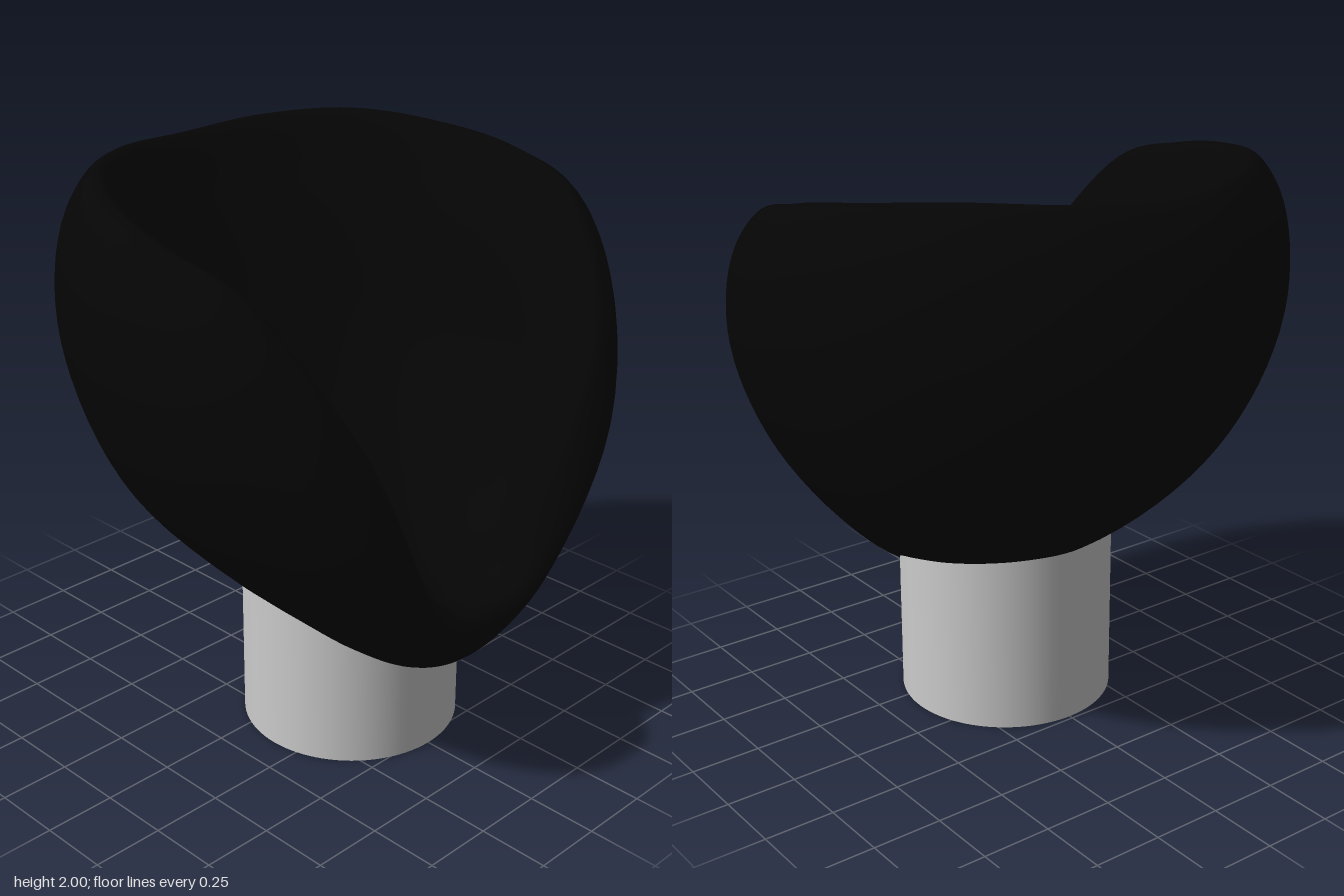
import * as THREE from 'three';
import { mergeVertices } from 'three/addons/utils/BufferGeometryUtils.js';

const AXIS_Z = 0.15;      // vertical axis shared by the base and the shell
const BASE_R = 0.385;

// Shell section every 22.5 degrees from front (0) to back (180):
// underside y at the base, outer mid (r, y), widest (r, y), rim crest (r, y),
// inner rim (r, y), inner wall (r, y)
const KEYS = [
  [0.35, 0.56, 0.435, 0.65, 0.59, 0.56, 0.65, 0.46, 0.65, 0.37, 0.67],
  [0.385, 0.59, 0.50, 0.71, 0.68, 0.63, 0.77, 0.53, 0.74, 0.43, 0.73],
  [0.46, 0.67, 0.70, 0.875, 1.08, 0.81, 1.41, 0.69, 1.22, 0.53, 0.91],
  [0.54, 0.77, 0.93, 0.945, 1.38, 0.81, 1.81, 0.67, 1.56, 0.55, 1.11],
  [0.59, 0.79, 1.00, 0.96, 1.47, 0.80, 1.92, 0.65, 1.69, 0.54, 1.18],
  [0.62, 0.79, 1.00, 0.965, 1.50, 0.80, 1.97, 0.67, 1.75, 0.52, 1.23],
  [0.64, 0.78, 1.02, 0.965, 1.49, 0.82, 2.00, 0.69, 1.78, 0.49, 1.29],
  [0.65, 0.78, 1.03, 0.965, 1.47, 0.83, 1.99, 0.70, 1.78, 0.47, 1.34],
  [0.65, 0.78, 1.04, 0.96, 1.47, 0.83, 1.97, 0.70, 1.77, 0.46, 1.36],
];

// Smooth, left-right mirrored blend of the sections around the axis
function sectionAt(theta) {
  const n = KEYS.length - 1;
  const a = Math.acos(THREE.MathUtils.clamp(Math.cos(theta), -1, 1));
  const f = (a / Math.PI) * n;
  const i = Math.min(Math.floor(f), n - 1);
  const t = f - i;
  const key = (k) => KEYS[k < 0 ? -k : k > n ? 2 * n - k : k];
  return KEYS[0].map((_, c) => {
    const [p0, p1, p2, p3] = [-1, 0, 1, 2].map((d) => key(i + d)[c]);
    const m1 = (p2 - p0) / 2, m2 = (p3 - p1) / 2;
    return p1 + t * (m1 + t * (3 * (p2 - p1) - 2 * m1 - m2 + t * (2 * (p1 - p2) + m1 + m2)));
  });
}

// Profile from the underside, over the rolled rim, down to the seat centre
function profileAt(theta, steps) {
  const [yBase, rMid, yMid, rWide, yWide, rTop, yTop, r1, y1, r2, y2] = sectionAt(theta);
  const points = [
    [0, 0.5], [BASE_R, yBase], [rMid, yMid], [rWide, yWide],
    [rTop + (rWide - rTop) * 0.76, yWide + (yTop - yWide) * 0.74],
    [rTop, yTop], [r1, y1], [r2, y2],
    [0.24, 0.9 - 0.17 * Math.cos(theta)], [0, 0.87],
  ].map(([r, y]) => new THREE.Vector3(r, y, 0));
  return new THREE.CatmullRomCurve3(points).getPoints(steps);
}

function shellGeometry(around = 120, steps = 72) {
  const positions = [], index = [];
  for (let i = 0; i < around; i++) {
    const theta = (i / around) * Math.PI * 2;
    for (const p of profileAt(theta, steps)) {
      const r = Math.max(p.x, 0);
      positions.push(r * Math.sin(theta), p.y, AXIS_Z + r * Math.cos(theta));
    }
  }
  const row = steps + 1;
  for (let i = 0; i < around; i++) {
    const next = (i + 1) % around;
    for (let j = 0; j < steps; j++) {
      const a = i * row + j, b = next * row + j;
      if (j > 0) index.push(a, b, b + 1);
      if (j < steps - 1) index.push(a, b + 1, a + 1);
      else index.push(a, b, a + 1);
    }
  }
  const geometry = new THREE.BufferGeometry();
  geometry.setAttribute('position', new THREE.Float32BufferAttribute(positions, 3));
  geometry.setIndex(index);
  const merged = mergeVertices(geometry, 1e-5);
  merged.computeVertexNormals();
  return merged;
}

// Open tube whose top edge follows the underside of the shell
function baseGeometry() {
  const geometry = new THREE.CylinderGeometry(BASE_R, BASE_R, 1, 96, 1, true);
  const pos = geometry.attributes.position;
  for (let i = 0; i < pos.count; i++) {
    const top = sectionAt(Math.atan2(pos.getX(i), pos.getZ(i)))[0] + 0.01;
    pos.setY(i, pos.getY(i) > 0 ? top : 0);
  }
  return geometry;
}

export function createModel() {
  const group = new THREE.Group();
  group.name = 'armchair';

  // Upholstered scoop: seat, back and wings in one piece
  const shell = new THREE.Mesh(shellGeometry(), new THREE.MeshStandardMaterial({ color: 0x050505 }));
  shell.name = 'seatShell';

  // Tubular pedestal
  const base = new THREE.Mesh(
    baseGeometry(),
    new THREE.MeshStandardMaterial({ color: 0xcccccc, side: THREE.DoubleSide }),
  );
  base.name = 'base';
  base.position.z = AXIS_Z;

  group.add(shell, base);
  return group;
}
